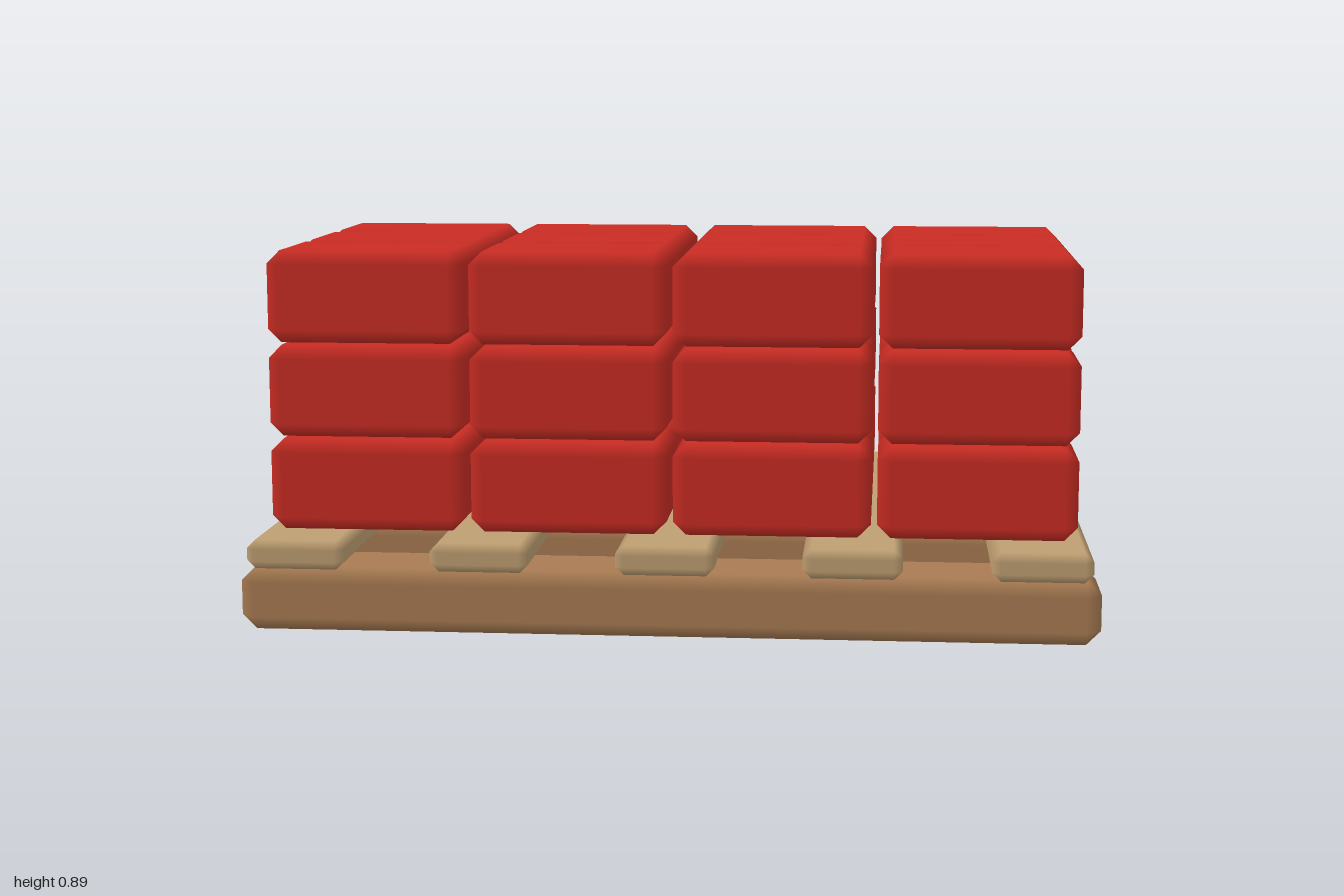
import * as THREE from 'three';
import { ConvexGeometry } from 'three/addons/geometries/ConvexGeometry.js';

// Box with chamfered edges whose shading blends from face to face
function chamferBox(w, h, d, c) {
  const half = [w / 2, h / 2, d / 2];
  const points = [];
  for (let axis = 0; axis < 3; axis++)
    for (const sx of [-1, 1]) for (const sy of [-1, 1]) for (const sz of [-1, 1]) {
      const p = [sx, sy, sz].map((s, i) => s * (half[i] - (i === axis ? 0 : c)));
      points.push(new THREE.Vector3(...p));
    }
  const geometry = new ConvexGeometry(points);
  // Each corner takes the normal of the flat face it lies on
  const pos = geometry.attributes.position, normal = geometry.attributes.normal;
  for (let i = 0; i < pos.count; i++) {
    const p = [pos.getX(i), pos.getY(i), pos.getZ(i)];
    const n = p.map((v, k) => (Math.abs(Math.abs(v) - half[k]) < c / 2 ? Math.sign(v) : 0));
    normal.setXYZ(i, ...n);
  }
  return geometry;
}

export function createModel() {
  const model = new THREE.Group();
  model.name = 'loadedPallet';
  const brickRed = new THREE.MeshStandardMaterial({ name: 'brickRed', color: 0xc92c23 });
  const beamWood = new THREE.MeshStandardMaterial({ name: 'beamWood', color: 0xa87b52 });
  const slatWood = new THREE.MeshStandardMaterial({ name: 'slatWood', color: 0xbf9f72 });

  const add = (parent, name, geometry, material, x, y, z) => {
    const mesh = new THREE.Mesh(geometry, material);
    mesh.name = name;
    mesh.position.set(x, y, z);
    parent.add(mesh);
  };

  // Pallet: three long beams under five cross slats
  const pallet = new THREE.Group();
  pallet.name = 'pallet';
  const beam = chamferBox(2, 0.15, 0.243, 0.034);
  for (const z of [-0.568, 0, 0.568]) add(pallet, 'beam', beam, beamWood, 0, 0.075, z);
  const slat = chamferBox(0.23, 0.068, 1.4, 0.02);
  for (let i = -2; i <= 2; i++) add(pallet, 'slat', slat, slatWood, i * 0.432, 0.184, 0);

  // Bricks: three layers, the top one lacking its back row
  const bricks = new THREE.Group();
  bricks.name = 'bricks';
  const brick = chamferBox(0.46, 0.215, 0.312, 0.031);
  for (let layer = 0; layer < 3; layer++)
    for (let row = 0; row < (layer === 2 ? 3 : 4); row++)
      for (let col = 0; col < 4; col++)
        add(bricks, 'brick', brick, brickRed,
          0.005 + (col - 1.5) * 0.474, 0.338 + layer * 0.221, -0.003 + (1.5 - row) * 0.319);

  model.add(pallet, bricks);
  return model;
}
